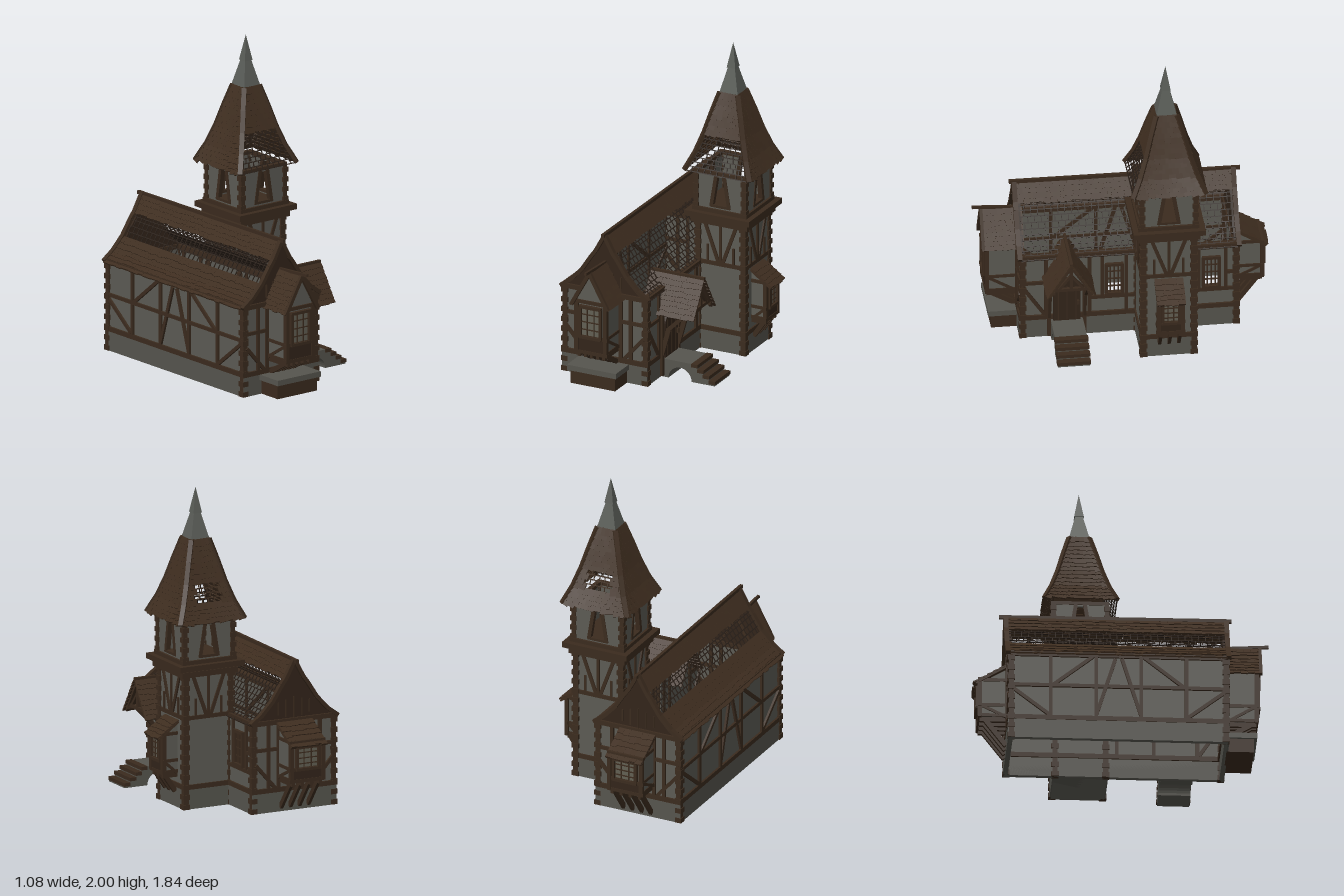
import * as THREE from 'three';
import { mergeGeometries } from 'three/addons/utils/BufferGeometryUtils.js';

const mat = (name, color, side = THREE.FrontSide) => Object.assign(new THREE.MeshStandardMaterial({ color, side }), { name });
const PLASTER = mat('plaster', 0x5c5b54), STONE = mat('stone', 0x56554e), TIMBER = mat('timber', 0x3b2b1e);
const PLANK = mat('plank', 0x32241a), TILE = mat('roofTile', 0x3e2d1f), LEAD = mat('lead', 0x5a5d58);
const GLASS = mat('glass', 0x625f53), INNER = mat('roofLining', 0x2a2019);

const V = (x, y, z) => new THREE.Vector3(x, y, z);
let seed = 7;
const rnd = () => (seed = (seed * 16807) % 2147483647) / 2147483647;

function part(parent, name, material, geos) {
  const list = [].concat(geos).map(g => (g.index ? g.toNonIndexed() : g));
  const geo = list.length > 1 ? mergeGeometries(list) : list[0];
  geo.computeVertexNormals();
  const m = new THREE.Mesh(geo, material);
  m.name = name;
  parent.add(m);
  return m;
}
const box = (w, h, d, x, y, z) => new THREE.BoxGeometry(w, h, d).translate(x, y, z);

// Bar from a to b: width lies across the surface whose normal is n
function bar(a, b, n, width, thick) {
  const dir = b.clone().sub(a), len = dir.length();
  dir.normalize();
  const y = n.clone().cross(dir).normalize(), z = dir.clone().cross(y);
  const m = new THREE.Matrix4().makeBasis(dir, y, z).setPosition(a.clone().add(b).multiplyScalar(0.5));
  return new THREE.BoxGeometry(len, width, thick).applyMatrix4(m);
}

// Flat wall with rectangular or tapered holes, facing local +z
function wall(w, y0, y1, holes = []) {
  const poly = p => p.map(q => new THREE.Vector2(q[0], q[1]));
  const s = new THREE.Shape(poly([[-w / 2, y0], [w / 2, y0], [w / 2, y1], [-w / 2, y1]]));
  for (const h of holes) s.holes.push(new THREE.Path(poly(h)));
  return new THREE.ExtrudeGeometry(s, { depth: 0.02, bevelEnabled: false }).translate(0, 0, -0.02);
}
const rect = (x, y0, y1, w) => [[x - w / 2, y0], [x - w / 2, y1], [x + w / 2, y1], [x + w / 2, y0]];

// Half-timbering from [x0, y0, x1, y1, width], showing on both wall sides
const frame = (list, z = -0.008, t = 0.044) =>
  list.map(([a, b, c, d, w = 0.022]) => bar(V(a, b, z), V(c, d, z), V(0, 0, 1), w, t));
const mirrored = list => list.concat(list.map(([a, b, c, d, w]) => [-a, b, -c, d, w]));

// Window casing with glazing bars
function windowBars(x, y0, y1, w, z, cols = 3, rows = 4) {
  const out = [];
  for (let i = 0; i <= cols; i++) {
    const edge = i === 0 || i === cols;
    out.push(box(edge ? 0.018 : 0.006, y1 - y0, edge ? 0.03 : 0.01, x - w / 2 + (w * i) / cols, (y0 + y1) / 2, z));
  }
  for (let j = 0; j <= rows; j++) {
    const edge = j === 0 || j === rows;
    out.push(box(w + 0.015, edge ? 0.018 : 0.006, edge ? 0.034 : 0.01, x, y0 + ((y1 - y0) * j) / rows, z));
  }
  return out;
}

// Corner post made of alternating blocks
function quoins(x, z, y0, y1, s) {
  const out = [], n = Math.round((y1 - y0) / 0.032), h = (y1 - y0) / n;
  for (let i = 0; i < n; i++) {
    const k = s * (i % 2 ? 0.8 : 1.1);
    out.push(box(k, h, k, x, y0 + h * (i + 0.5), z));
  }
  return out;
}

// Roof courses over a quad (corners as seen from outside); open(u) leaves only tile rims
function tiles(bl, br, tl, tr, rows, cols, open = () => false) {
  const out = [];
  const P = (u, v) => bl.clone().lerp(br, u).lerp(tl.clone().lerp(tr, u), v);
  const n = br.clone().sub(bl).cross(tl.clone().sub(bl)).normalize();
  for (let r = 0; r < rows; r++) for (let c = 0; c <= cols; c++) {
    const off = r % 2 ? 0.5 : 0;
    const u0 = Math.max(0, (c - off) / cols), u1 = Math.min(1, (c + 1 - off) / cols), um = (u0 + u1) / 2;
    if (u1 - u0 < 1e-4) continue;
    const v0 = r / rows, v1 = (r + 1) / rows;
    if (open(um)) {
      out.push(bar(P(u0, v0), P(u1, v0), n, 0.006, 0.005), bar(P(u0, v0), P(u0, v1), n, 0.005, 0.005));
    } else {
      const a = P(um, v0 - (0.1 + rnd() * 0.3) / rows).addScaledVector(n, 0.007);
      out.push(bar(a, P(um, v1 + 0.1 / rows), n, P(u0, v0).distanceTo(P(u1, v0)) * (0.97 + rnd() * 0.05), 0.009));
    }
  }
  return out;
}

function face(parent, name, angle, x, z) {
  const g = new THREE.Group();
  g.name = name;
  g.position.set(x, 0, z);
  g.rotation.y = angle;
  parent.add(g);
  return g;
}

// Bay window projecting along local +z
function bay(g, x, w, y0, y1, depth, foot, brackets) {
  const h = y1 - y0, wood = [], win0 = y0 + h * 0.32, win1 = y1 - 0.03;
  part(g, 'bayWalls', PLASTER, box(w, h, depth, x, (y0 + y1) / 2, depth / 2));
  for (const s of [-1, 1]) {
    wood.push(box(0.026, h, 0.026, x + (s * w) / 2, (y0 + y1) / 2, depth));
    for (const y of [y0 + 0.01, win0, y1]) wood.push(box(0.012, 0.02, depth, x + (s * w) / 2, y, depth / 2));
    wood.push(bar(V(x + (s * w) / 2, y0, 0.01), V(x + (s * w) / 2, win0, depth), V(1, 0, 0), 0.018, 0.014));
  }
  for (const y of [y0 + 0.005, win0, y1]) wood.push(box(w + 0.03, 0.022, 0.022, x, y, depth));
  for (let i = 0; i < brackets; i++) {
    const bx = x + (i / (brackets - 1) - 0.5) * (w - 0.03);
    wood.push(box(0.02, 0.03, depth, bx, y0 - 0.015, depth / 2));
    wood.push(bar(V(bx, foot, 0.012), V(bx, y0 - 0.02, depth * 0.8), V(1, 0, 0), 0.03, 0.02));
  }
  part(g, 'bayTimbers', TIMBER, wood);
  part(g, 'bayPanel', PLANK, box(w - 0.02, win0 - y0, 0.008, x, (y0 + win0) / 2, depth + 0.003));
  part(g, 'bayGlass', GLASS, box(w * 0.7, win1 - win0, 0.006, x, (win0 + win1) / 2, depth + 0.003));
  part(g, 'bayWindow', TIMBER, windowBars(x, win0, win1, w * 0.7, depth + 0.008, 3, 4));
}
function leanTo(g, x, w, yLow, yHigh, depth) {
  part(g, 'bayRoof', TILE, [
    ...tiles(V(x - w / 2, yLow, depth), V(x + w / 2, yLow, depth), V(x - w / 2, yHigh, 0), V(x + w / 2, yHigh, 0), 5, Math.round(w / 0.045)),
    bar(V(x, yLow - 0.008, depth), V(x, yHigh - 0.008, 0), V(0, 1, 0), w, 0.01)]);
  const k = (w / 2 - 0.02);
  const cheek = new THREE.Shape([new THREE.Vector2(0, yLow - 0.03), new THREE.Vector2(depth - 0.03, yLow - 0.03), new THREE.Vector2(depth - 0.03, yLow), new THREE.Vector2(0, yHigh - 0.02)]);
  part(g, 'bayCheeks', PLASTER, new THREE.ExtrudeGeometry(cheek, { depth: 2 * k, bevelEnabled: false }).rotateY(-Math.PI / 2).translate(x + k, 0, 0));
}

// Hall roof section: distance from ridge, height
const ROOF = [[0.305, 0.565], [0.23, 0.62], [0.155, 0.70], [0.09, 0.80], [0.06, 0.84], [0, 0.95]];
const CX = -0.22, ZF = 0.64, ZB = -0.71;

function buildHall(root) {
  const ends = mirrored([[0.18, 0.14, 0.18, 0.58], [0.11, 0.14, 0.11, 0.58], [0.11, 0.4, 0.285, 0.4], [0.27, 0.31, 0.13, 0.15]])
    .concat([[-0.3, 0.14, 0.3, 0.14, 0.03], [-0.3, 0.57, 0.3, 0.57, 0.03]]);
  const outline = [...ROOF.map(p => [-p[0], p[1]]), ...ROOF.slice(0, -1).reverse()].map(p => new THREE.Vector2(p[0], p[1] - 0.008));
  for (const [name, ang, z] of [['hallFront', 0, ZF], ['hallBack', Math.PI, ZB]]) {
    const g = face(root, name, ang, CX, z);
    part(g, 'endWall', PLASTER, wall(0.57, 0, 0.57));
    part(g, 'plinth', STONE, box(0.59, 0.13, 0.03, 0, 0.065, -0.005));
    part(g, 'endTimbers', TIMBER, frame(ends));
    part(g, 'gable', PLANK, new THREE.ExtrudeGeometry(new THREE.Shape(outline), { depth: 0.02, bevelEnabled: false }).translate(0, 0, -0.02));
    const boards = [];
    for (let i = 0; i < 5; i++) for (const s of [-1, 1])
      boards.push(bar(V(s * ROOF[i][0], ROOF[i][1] + 0.004, 0.008), V(s * ROOF[i + 1][0], ROOF[i + 1][1] + 0.004, 0.008), V(0, 0, 1), 0.024, 0.03));
    for (let i = -2; i <= 2; i++) boards.push(box(0.008, 0.14 - Math.abs(i) * 0.03, 0.008, i * 0.055, 0.65, 0.002));
    part(g, 'bargeBoards', TIMBER, boards);
  }

  // Long wall on the tower side
  const r = face(root, 'hallRight', Math.PI / 2, 0.065, -0.035), wins = [-0.095, 0.51];
  part(r, 'longWall', PLASTER, wall(1.35, 0, 0.57, wins.map(x => rect(x, 0.28, 0.49, 0.1))));
  part(r, 'plinth', STONE, box(1.36, 0.13, 0.03, 0, 0.065, -0.005));
  part(r, 'longTimbers', TIMBER, frame([[-0.68, 0.14, 0.68, 0.14, 0.03], [-0.68, 0.57, 0.68, 0.57, 0.03], [-0.25, 0.26, 0.68, 0.26],
    [-0.52, 0.14, -0.52, 0.57], [-0.25, 0.14, -0.25, 0.57], [-0.17, 0.26, -0.17, 0.57], [-0.02, 0.14, -0.02, 0.57], [0.43, 0.26, 0.43, 0.57],
    [0.6, 0.26, 0.6, 0.57], [-0.67, 0.39, -0.52, 0.39], [-0.67, 0.37, -0.53, 0.16], [0.61, 0.38, 0.67, 0.38]]));
  for (const x of wins) part(r, 'longWindow', TIMBER, windowBars(x, 0.28, 0.49, 0.1, 0.004, 4, 4));
  buildPorch(r, -0.392);

  // Plain long wall
  const l = face(root, 'hallLeft', -Math.PI / 2, -0.505, -0.035), side = [[-0.68, 0.14, 0.68, 0.14, 0.03], [-0.68, 0.57, 0.68, 0.57, 0.03], [-0.68, 0.36, 0.68, 0.36]];
  for (const x of [-0.42, -0.14, 0.14, 0.42]) side.push([x, 0.14, x, 0.57]);
  part(l, 'longWall', PLASTER, wall(1.35, 0, 0.57));
  part(l, 'plinth', STONE, box(1.36, 0.13, 0.03, 0, 0.065, -0.005));
  part(l, 'longTimbers', TIMBER, frame(side.concat(mirrored([[0.66, 0.34, 0.43, 0.16], [0.02, 0.55, 0.14, 0.16], [0.41, 0.36, 0.16, 0.56]]))));

  part(root, 'hallCorners', TIMBER, [-0.5, 0.06].flatMap(x => [ZF - 0.01, ZB + 0.01].flatMap(z => quoins(x, z, 0.0, 0.59, 0.04))));

  // Roof: some courses are bare rims only
  const solid = [], rims = [];
  for (const s of [-1, 1]) for (let i = 0; i < 5; i++) {
    const [d0, y0] = ROOF[i], [d1, y1] = ROOF[i + 1];
    const open = i !== 4 && (s > 0 || i > 1), za = s > 0 ? ZF : ZB, zb = s > 0 ? ZB : ZF;
    const q = [V(CX + s * d0, y0, za), V(CX + s * d0, y0, zb), V(CX + s * d1, y1, za), V(CX + s * d1, y1, zb)];
    (open ? rims : solid).push(...tiles(...q, i === 3 ? 2 : i === 4 ? 4 : 3, 32, () => open));
    if (s > 0 && i < 2) { // lining seen only from within
      const lining = new THREE.BufferGeometry().setFromPoints([q[0], q[2], q[1], q[1], q[2], q[3]]);
      part(root, 'roofLining', INNER, lining);
    }
  }
  part(root, 'hallRoof', TILE, solid);
  part(root, 'hallRoofRims', INNER, rims);
  part(root, 'ridgeBeam', TIMBER, bar(V(CX, 0.96, 0.68), V(CX, 0.95, -0.76), V(0, 1, 0), 0.02, 0.022));
}

function buildPorch(g, x) {
  const roof = [], y0 = 0.43, y1 = 0.655, zi = -0.11, zo = 0.26;
  roof.push(...tiles(V(x - 0.14, y0, zi), V(x - 0.14, y0, zo), V(x, y1, zi), V(x, y1, zo), 8, 8));
  roof.push(...tiles(V(x + 0.14, y0, zo), V(x + 0.14, y0, zi), V(x, y1, zo), V(x, y1, zi), 8, 8));
  part(g, 'porchRoof', TILE, roof);
  const wood = [box(0.018, 0.018, 0.37, x, y1 + 0.004, 0.075), box(0.02, 0.16, 0.02, x, 0.55, 0.23), box(0.22, 0.02, 0.02, x, 0.47, 0.23)];
  for (const s of [-1, 1]) {
    wood.push(bar(V(x + s * 0.135, y0, 0.235), V(x, y1 - 0.015, 0.235), V(0, 0, 1), 0.022, 0.022));
    wood.push(bar(V(x + s * 0.08, 0.47, 0.23), V(x, 0.57, 0.23), V(0, 0, 1), 0.016, 0.018));
    wood.push(box(0.022, 0.45, 0.03, x + s * 0.11, 0.235, 0.015), box(0.02, 0.02, 0.26, x + s * 0.11, 0.455, 0.12));
    wood.push(bar(V(x + s * 0.11, 0.15, 0.02), V(x + s * 0.11, 0.33, 0.07), V(1, 0, 0), 0.03, 0.018));
    wood.push(bar(V(x + s * 0.11, 0.32, 0.06), V(x + s * 0.11, 0.46, 0.2), V(1, 0, 0), 0.025, 0.018));
  }
  part(g, 'porchFrame', TIMBER, wood);
  // Arched door
  const d = new THREE.Shape();
  d.moveTo(x - 0.085, 0.12).lineTo(x + 0.085, 0.12).lineTo(x + 0.085, 0.33).absarc(x, 0.33, 0.085, 0, Math.PI, false);
  part(g, 'door', PLANK, new THREE.ExtrudeGeometry(d, { depth: 0.03, bevelEnabled: false, curveSegments: 8 }));
  part(g, 'doorBoards', TIMBER, [-0.055, 0, 0.055].map(o => box(0.006, 0.24, 0.008, x + o, 0.245, 0.031)).concat(box(0.014, 0.03, 0.02, x + 0.068, 0.25, 0.035)));
  // Landing on an arch, with steps
  const s = new THREE.Shape();
  s.moveTo(0, 0).lineTo(0.06, 0).absarc(0.14, 0, 0.08, Math.PI, 0, true).lineTo(0.38, 0);
  for (let i = 0; i < 4; i++) s.lineTo(0.38 - i * 0.04, 0.03 * (i + 1)).lineTo(0.34 - i * 0.04, 0.03 * (i + 1));
  s.lineTo(0, 0.12);
  part(g, 'landing', STONE, new THREE.ExtrudeGeometry(s, { depth: 0.2, bevelEnabled: false, curveSegments: 8 }).rotateY(-Math.PI / 2).translate(x + 0.1, 0, 0));
  part(g, 'steps', TIMBER, [0, 1, 2, 3].map(i => box(0.21, 0.022, 0.044, x, 0.03 * (i + 1) - 0.009, 0.362 - i * 0.04)));
}

function buildTower(root) {
  const t = face(root, 'tower', 0, 0.215, -0.24);
  part(t, 'towerBody', PLASTER, box(0.33, 0.86, 0.33, 0, 0.43, 0));
  part(t, 'towerPlinth', STONE, box(0.345, 0.13, 0.345, 0, 0.065, 0));
  part(t, 'towerBelt', TIMBER, [box(0.35, 0.03, 0.35, 0, 0.14, 0), box(0.35, 0.025, 0.35, 0, 0.58, 0), box(0.39, 0.035, 0.39, 0, 0.86, 0), box(0.45, 0.035, 0.45, 0, 0.905, 0), box(0.38, 0.025, 0.38, 0, 0.935, 0)]);
  const posts = [], hips = [], solid = [], rims = [];
  for (const sx of [-1, 1]) for (const sz of [-1, 1])
    posts.push(...quoins(sx * 0.157, sz * 0.157, 0, 0.85, 0.042), ...quoins(sx * 0.167, sz * 0.167, 0.94, 1.19, 0.036));
  part(t, 'towerCorners', TIMBER, posts);
  const prof = [[0.225, 1.19], [0.175, 1.30], [0.135, 1.42], [0.10, 1.55], [0.062, 1.68]];
  for (let k = 0; k < 4; k++) {
    const f = face(t, 'towerSide', (k * Math.PI) / 2, 0, 0), rot = new THREE.Matrix4().makeRotationY((k * Math.PI) / 2);
    part(f, 'belfryWall', PLASTER, wall(0.34, 0.92, 1.19, [[[-0.055, 0.97], [-0.022, 1.16], [0.022, 1.16], [0.055, 0.97]]]).translate(0, 0, 0.175));
    part(f, 'sideTimbers', TIMBER, frame(mirrored([[0.062, 0.96, 0.028, 1.17, 0.024]]).concat([[-0.07, 0.965, 0.07, 0.965, 0.016], [-0.175, 1.18, 0.175, 1.18]]), 0.165, 0.03)
      .concat(frame(mirrored([[0.015, 0.59, 0.11, 0.85], [0.09, 0.59, 0.09, 0.7, 0.014]]).concat([[0, 0.59, 0, 0.85, 0.018]]), 0.165, 0.02)));
    // Roof face, partly stripped on two sides
    for (let i = 0; i < 4; i++) {
      const [a, y0] = prof[i], [b, y1] = prof[i + 1];
      const q = [V(-a, y0, a), V(a, y0, a), V(-b, y1, b), V(b, y1, b)].map(p => p.applyMatrix4(rot));
      const gap = u => (k === 0 && i < 2) || (k === 2 && i === 1 && Math.abs(u - 0.5) < 0.3);
      const all = k === 0 && i < 2;
      (all ? rims : solid).push(...tiles(...q, 4, [10, 8, 6, 5][i], gap));
      hips.push(bar(q[1], q[3], q[1].clone().setY(0.15).normalize(), 0.03, 0.022));
    }
  }
  part(t, 'towerRoof', TILE, solid);
  part(t, 'towerRoofRims', INNER, rims);
  part(t, 'towerHips', TIMBER, hips);
  // Spire cap
  const q = Math.SQRT2, cone = (a, b, y0, y1) => new THREE.CylinderGeometry(b * q, a * q, y1 - y0, 4).rotateY(Math.PI / 4).translate(0, (y0 + y1) / 2, 0);
  part(t, 'spireCap', LEAD, [cone(0.066, 0.024, 1.67, 1.84), cone(0.03, 0.0005, 1.84, 2)]);
  // Bay on the outer side
  const b = face(t, 'towerBay', Math.PI / 2, 0.165, 0);
  bay(b, 0, 0.15, 0.22, 0.47, 0.1, 0.1, 3);
  leanTo(b, 0, 0.18, 0.45, 0.55, 0.14);
}

export function createModel() {
  const root = new THREE.Group();
  root.name = 'timberChapel';
  buildHall(root);
  buildTower(root);

  // Front bay with its own gable and stone foot
  const f = face(root, 'frontBay', 0, CX, ZF);
  bay(f, 0, 0.2, 0.23, 0.57, 0.19, 0.13, 5);
  part(f, 'bayFoot', TIMBER, box(0.31, 0.09, 0.17, 0, 0.045, 0.085));
  part(f, 'baySlab', STONE, box(0.34, 0.035, 0.19, 0, 0.108, 0.095));
  const g = [[0.125, 0.55], [0.07, 0.65], [0, 0.775]], roof = [], barge = [];
  for (let i = 0; i < 2; i++) for (const s of [-1, 1]) {
    const [a, y0] = g[i], [b, y1] = g[i + 1], za = s > 0 ? 0.22 : -0.04, zb = s > 0 ? -0.04 : 0.22;
    roof.push(...tiles(V(s * a, y0, za), V(s * a, y0, zb), V(s * b, y1, za), V(s * b, y1, zb), 4, 6));
    barge.push(bar(V(s * a, y0, 0.215), V(s * b, y1, 0.215), V(0, 0, 1), 0.024, 0.02));
  }
  part(f, 'bayGableRoof', TILE, roof);
  part(f, 'bayBargeBoards', TIMBER, barge.concat(bar(V(0, 0.77, -0.06), V(0, 0.79, 0.27), V(0, 1, 0), 0.016, 0.018)));
  const tri = new THREE.Shape([[-0.11, 0.56], [0.11, 0.56], [0.065, 0.65], [0, 0.765], [-0.065, 0.65]].map(p => new THREE.Vector2(...p)));
  part(f, 'bayGable', PLASTER, new THREE.ExtrudeGeometry(tri, { depth: 0.19, bevelEnabled: false }));

  // Back bay with a sloping roof
  const b = face(root, 'backBay', Math.PI, CX, ZB);
  bay(b, 0, 0.22, 0.22, 0.47, 0.175, 0.03, 4);
  leanTo(b, 0, 0.25, 0.45, 0.57, 0.2);
  return root;
}
